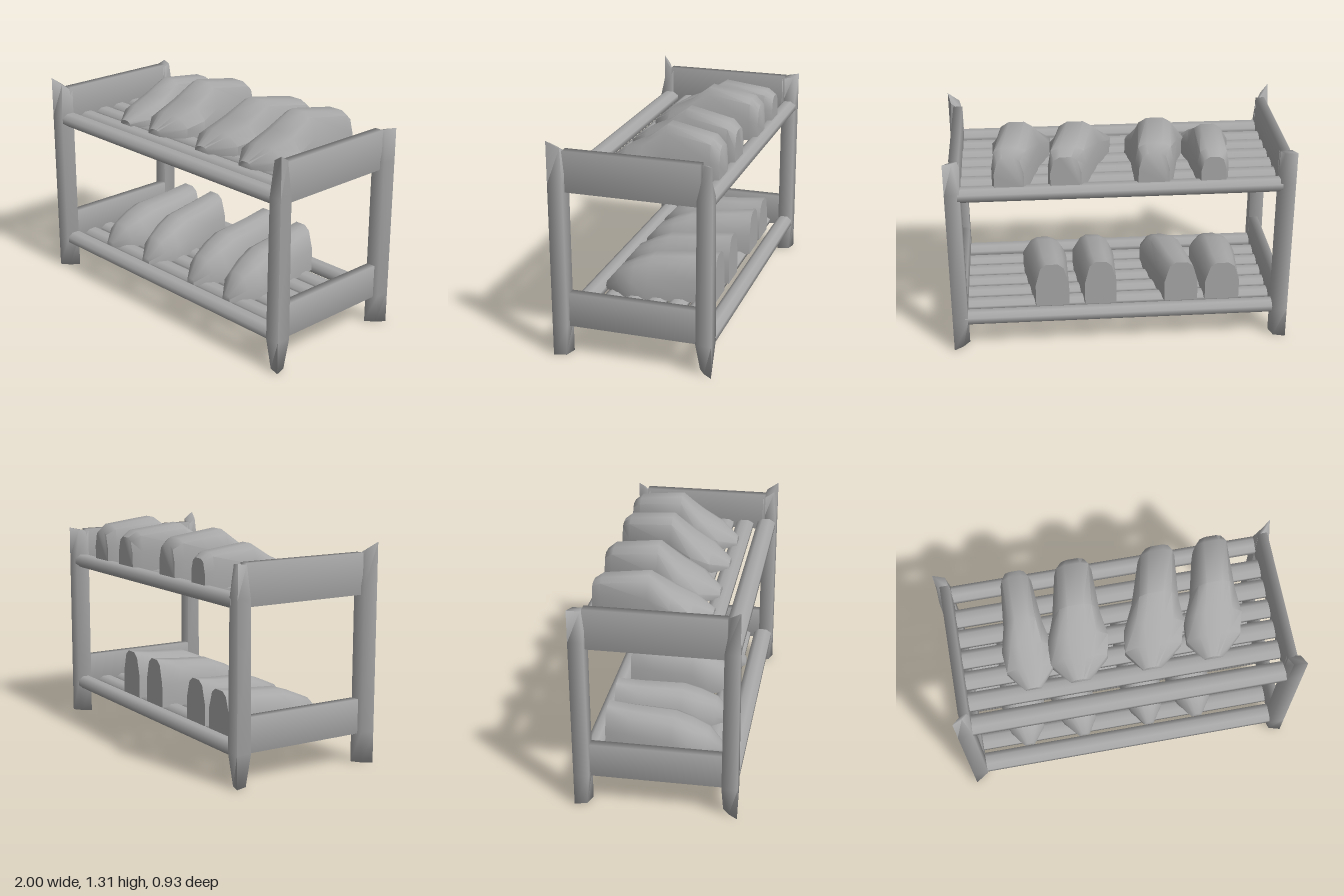
import * as THREE from 'three';
import { mergeVertices, toCreasedNormals } from 'three/addons/utils/BufferGeometryUtils.js';

const grey = new THREE.MeshStandardMaterial({ color: 0xa8a8a8 });
grey.name = 'grey';

// Closed loft through rings of equal length, with fan caps at both ends
function loft(rings, crease) {
  const n = rings[0].length, pos = rings.flat(2), idx = [];
  for (let r = 0; r < rings.length - 1; r++)
    for (let i = 0; i < n; i++) {
      const a = r * n + i, b = r * n + (i + 1) % n;
      idx.push(a, b, b + n, a, b + n, a + n);
    }
  const e = (rings.length - 1) * n;
  for (let i = 1; i < n - 1; i++) idx.push(0, i + 1, i, e, e + i, e + i + 1);
  const g = new THREE.BufferGeometry();
  g.setAttribute('position', new THREE.Float32BufferAttribute(pos, 3));
  g.setIndex(idx);
  return toCreasedNormals(g, crease);
}

function add(group, geometry, name) {
  const mesh = new THREE.Mesh(geometry, grey);
  mesh.name = name;
  group.add(mesh);
  return mesh;
}

// Corner post: square in the middle, pinched towards a diagonal ridge at the ends
function post(sx, sz, topOuter, topInner) {
  const pinchEnd = sx * sz > 0 ? 0.45 : 0.85;
  const levels = [[0.01, 0.01, pinchEnd], [0.2, 0.2, 0], [1.04, 1.04, 0.1], [topOuter, topInner, pinchEnd]];
  const rings = levels.map(([yo, yi, pinch]) => {
    const out = 0.045, k = out * (1 - pinch), ym = (yo + yi) / 2;
    const ring = [[out, yo, out], [k, ym, -k], [-out, yi, -out], [-k, ym, k]]
      .map(([x, y, z]) => [sx * (0.953 + x), y, sz * (0.42 + z)]);
    return sx * sz > 0 ? ring : ring.reverse();
  });
  return loft(rings, 1.7);
}

// Long rounded bar running along x
function bar(group, y, z, h, d, name) {
  const g = new THREE.CylinderGeometry(0.5, 0.5, 1.85, 8, 1);
  g.rotateY(Math.PI / 8);
  g.rotateZ(Math.PI / 2);
  g.scale(1, h * 1.08, d * 1.08);
  add(group, g, name).position.set(0, y, z);
}

// End board between the posts, softly shaded across its edges
function endBoard(group, sx, low, top, name) {
  const box = new THREE.BoxGeometry(0.055, top - low, 0.78);
  box.deleteAttribute('normal');
  box.deleteAttribute('uv');
  const g = mergeVertices(box);
  g.computeVertexNormals();
  add(group, g, name).position.set(sx * 0.937, (low + top) / 2, 0);
}

// Shoe from [z, half width at sole, half width on top, height] sections, heel turned by skew
function shoe(sections, width, height, skew) {
  const rings = sections.map(([z, w, t, h]) => {
    const y = h * height, dx = -skew * z;
    w *= width;
    t *= width;
    return [[-w, 0], [w, 0], [w, y * 0.5], [t, y * 0.9], [t * 0.5, y],
      [-t * 0.5, y], [-t, y * 0.9], [-w, y * 0.5]].map(([px, py]) => [px + dx, py, z]);
  });
  return loft(rings, 0.9);
}

const upperShoe = [[-0.42, 0.08, 0.06, 0.2], [-0.37, 0.1, 0.085, 0.24], [-0.1, 0.125, 0.085, 0.28],
  [0.03, 0.16, 0.1, 0.18], [0.15, 0.15, 0.08, 0.12], [0.26, 0.05, 0.03, 0.04]];
const lowerShoe = [[-0.34, 0.1, 0.07, 0.28], [-0.2, 0.11, 0.08, 0.26], [0.05, 0.13, 0.085, 0.24],
  [0.15, 0.13, 0.08, 0.2], [0.25, 0.1, 0.06, 0.15], [0.34, 0.03, 0.02, 0.04]];

export function createModel() {
  const model = new THREE.Group();
  model.name = 'shoeRack';

  // Posts and end boards
  for (const sx of [-1, 1]) {
    add(model, post(sx, 1, 1.285, 1.2), 'frontPost');
    add(model, post(sx, -1, 1.23, 1.21), 'backPost');
    endBoard(model, sx, 0.99, 1.225, 'upperEndBoard');
    endBoard(model, sx, 0.19, 0.39, 'lowerEndBoard');
  }

  // Shelves: front and back rails with slats between
  for (const [y, name] of [[1.02, 'upper'], [0.21, 'lower']]) {
    const shelf = new THREE.Group();
    shelf.name = name + 'Shelf';
    bar(shelf, y, 0.4, 0.08, 0.115, 'frontRail');
    bar(shelf, y, -0.415, 0.08, 0.1, 'backRail');
    for (let i = -2; i <= 2; i++) bar(shelf, y - 0.005, i * 0.13, 0.06, 0.11, 'slat');
    model.add(shelf);
  }

  // Shoes: [x, width factor, height factor, skew]
  const rows = [
    ['upperShoe', upperShoe, 1.04, [[-0.53, 0.9, 0.82, 0], [-0.23, 1.1, 1, 0.1], [0.22, 1.1, 0.97, 0.22], [0.565, 1.05, 1, 0.16]]],
    ['lowerShoe', lowerShoe, 0.22, [[-0.62, 1.03, 0.88, 0], [-0.32, 1, 0.93, -0.15], [0.13, 0.95, 1.02, -0.05], [0.43, 1, 1, -0.08]]],
  ];
  for (const [name, sections, y, list] of rows)
    for (const [x, w, h, skew] of list)
      add(model, shoe(sections, w, h, skew), name).position.set(x, y, 0);

  return model;
}
